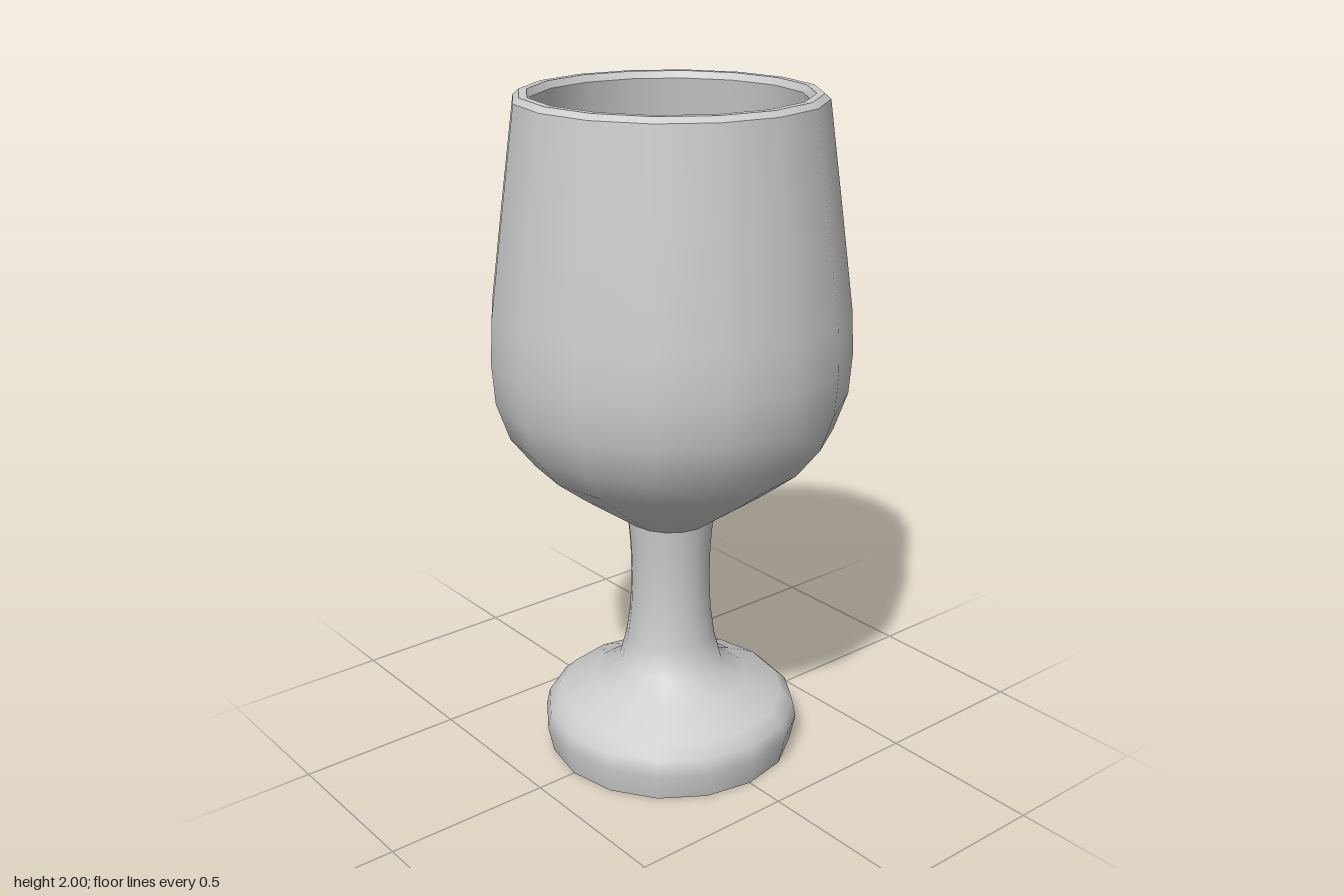
import * as THREE from 'three';

const SIDES = 16;

export function createModel() {
  const goblet = new THREE.Group();
  goblet.name = 'goblet';
  const grey = new THREE.MeshStandardMaterial({ color: 0xcccccc });
  grey.name = 'grey';

  // Each turned section has its own smooth normals; section joints stay sharp.
  function turned(name, profile) {
    const points = profile.map(([r, y]) => new THREE.Vector2(r, y));
    const mesh = new THREE.Mesh(new THREE.LatheGeometry(points, SIDES), grey);
    mesh.name = name;
    goblet.add(mesh);
  }

  turned('footUnderside', [[0, 0], [0.375, 0]]);

  // Foot flowing up into a waisted stem
  turned('footAndStem', [
    [0.375, 0], [0.392, 0.08], [0.382, 0.13], [0.345, 0.165], [0.24, 0.215],
    [0.157, 0.275], [0.135, 0.36], [0.123, 0.45], [0.119, 0.55], [0.121, 0.65], [0.129, 0.745],
  ]);

  // Rounded bowl tapering to the mouth
  turned('bowl', [
    [0.129, 0.745], [0.31, 0.875], [0.405, 0.95], [0.475, 1.04], [0.513, 1.15],
    [0.522, 1.27], [0.515, 1.4], [0.476, 1.69], [0.435, 1.985],
  ]);

  // Bevelled lip
  turned('lipOuterBevel', [[0.435, 1.985], [0.418, 2]]);
  turned('lipTop', [[0.418, 2], [0.396, 2]]);
  turned('lipInnerBevel', [[0.396, 2], [0.384, 1.98]]);

  // Inside wall widening down to the level surface of the drink
  turned('innerWall', [[0.384, 1.98], [0.412, 1.78]]);
  turned('drinkSurface', [[0.412, 1.78], [0, 1.78]]);

  return goblet;
}
